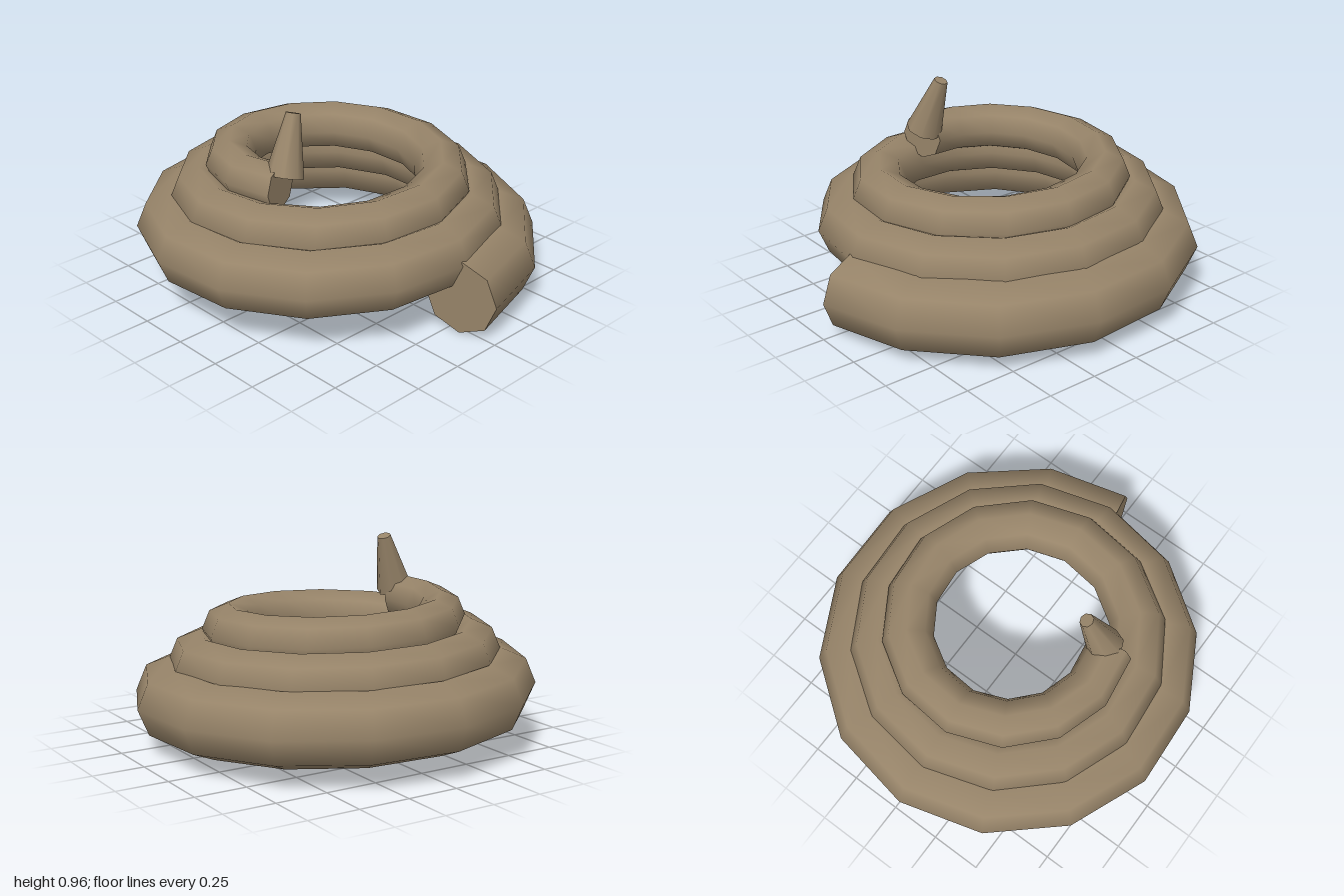
import * as THREE from 'three';

const SIDES = 8;
const SEGMENTS = 39;
const TURNS = 2.8;
const CENTRE = new THREE.Vector3(-0.0425, 0, 0.035);

// One ring of the rope at a given step: rises, closes in and thins out along the way
function ropeRing(i) {
  const turns = (TURNS * i) / SEGMENTS;
  const angle = turns * Math.PI * 2;
  const pathRadius = 0.86 - 0.145 * turns;
  const ropeRadius = 0.182 - 0.025 * turns;
  const centre = new THREE.Vector3(
    Math.cos(angle) * pathRadius, 0.182 + 0.16 * turns, -Math.sin(angle) * pathRadius
  ).add(CENTRE);
  // the first ring is square to the first straight segment
  const facing = i === 0 ? (TURNS * Math.PI) / SEGMENTS : angle;
  const points = [];
  for (let s = 0; s < SIDES; s++) {
    const b = (s / SIDES) * Math.PI * 2;
    const out = Math.cos(b) * ropeRadius;
    points.push(new THREE.Vector3(
      centre.x + Math.cos(facing) * out,
      centre.y + Math.sin(b) * ropeRadius,
      centre.z - Math.sin(facing) * out
    ));
  }
  return { centre, points };
}

function buildGeometry(positions, index) {
  const geometry = new THREE.BufferGeometry();
  geometry.setAttribute('position', new THREE.Float32BufferAttribute(positions, 3));
  geometry.setIndex(index);
  geometry.computeVertexNormals();
  return geometry;
}

// Smooth skin joining all the rings
function coilGeometry() {
  const positions = [];
  const index = [];
  for (let i = 0; i <= SEGMENTS; i++) {
    for (const p of ropeRing(i).points) positions.push(p.x, p.y, p.z);
    if (i === SEGMENTS) break;
    for (let s = 0; s < SIDES; s++) {
      const a = i * SIDES + s;
      const b = i * SIDES + ((s + 1) % SIDES);
      index.push(a, a + SIDES, b, b, a + SIDES, b + SIDES);
    }
  }
  return buildGeometry(positions, index);
}

// Flat disc closing one end of the rope
function capGeometry(i) {
  const { centre, points } = ropeRing(i);
  const positions = [centre, ...points].flatMap((p) => [p.x, p.y, p.z]);
  const index = [];
  for (let s = 0; s < SIDES; s++) {
    const a = 1 + s;
    const b = 1 + ((s + 1) % SIDES);
    if (i === 0) index.push(0, a, b);
    else index.push(0, b, a);
  }
  return buildGeometry(positions, index);
}

export function createModel() {
  const group = new THREE.Group();
  group.name = 'coiledRope';
  const rope = new THREE.MeshStandardMaterial({ color: 0x978469 });
  rope.name = 'rope brown';

  const add = (name, geometry) => {
    const mesh = new THREE.Mesh(geometry, rope);
    mesh.name = name;
    group.add(mesh);
    return mesh;
  };

  add('coil', coilGeometry());
  add('lowerEnd', capGeometry(0));
  add('upperEnd', capGeometry(SEGMENTS));

  // Tapered tip standing up from the inner end
  const base = new THREE.Vector3(0.1, 0.675, 0.445);
  const top = new THREE.Vector3(0.06, 0.948, 0.35);
  const axis = top.clone().sub(base);
  const tip = add('tip', new THREE.CylinderGeometry(0.034, 0.09, axis.length(), SIDES));
  tip.position.copy(base).add(top).multiplyScalar(0.5);
  tip.quaternion.setFromUnitVectors(new THREE.Vector3(0, 1, 0), axis.normalize());

  return group;
}
